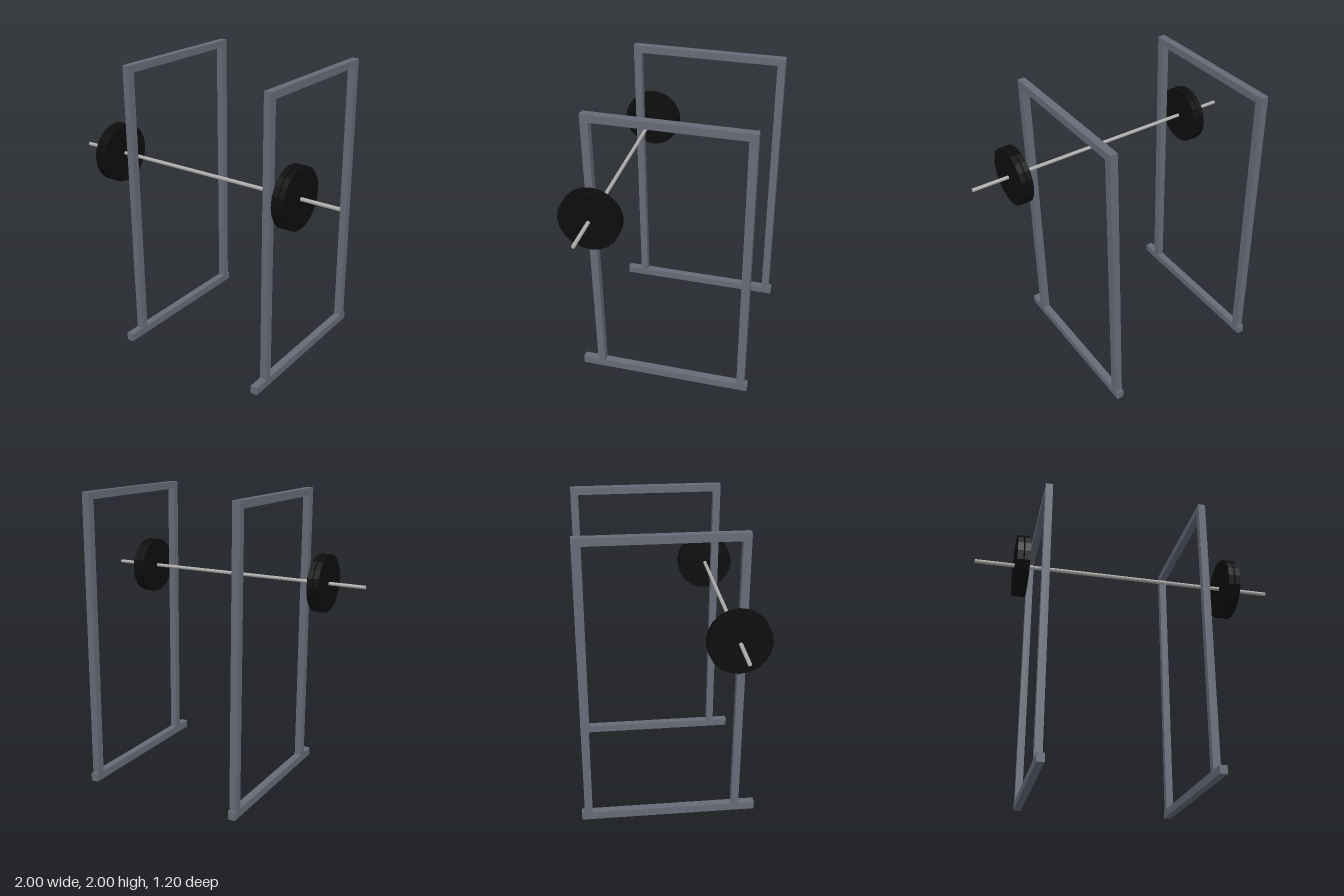
import * as THREE from 'three';

export function createModel() {
  const model = new THREE.Group();
  model.name = 'squatRack';

  const frameMat = new THREE.MeshStandardMaterial({ name: 'slate grey steel', color: 0x666b78 });
  const barMat = new THREE.MeshStandardMaterial({ name: 'bright steel', color: 0xb0aeac });
  const plateMat = new THREE.MeshStandardMaterial({ name: 'black rubber', color: 0x0d0d0d, flatShading: true });

  // Box beam given by its height and depth ranges
  const beam = (parent, name, y0, y1, z0, z1) => {
    const mesh = new THREE.Mesh(new THREE.BoxGeometry(0.05, y1 - y0, z1 - z0), frameMat);
    mesh.position.set(0, (y0 + y1) / 2, (z0 + z1) / 2);
    mesh.name = name;
    parent.add(mesh);
  };

  // Cylinder lying along x
  const rod = (parent, name, radius, length, sides, x, material) => {
    const geometry = new THREE.CylinderGeometry(radius, radius, length, sides).rotateZ(Math.PI / 2);
    const mesh = new THREE.Mesh(geometry, material);
    mesh.position.x = x;
    mesh.name = name;
    parent.add(mesh);
  };

  // Barbell resting across the front posts
  const barbell = new THREE.Group();
  barbell.name = 'barbell';
  barbell.position.set(0, 1.367, 0.4);
  model.add(barbell);
  rod(barbell, 'bar', 0.0125, 2, 12, 0, barMat);

  for (const [side, label] of [[1, 'left'], [-1, 'right']]) {
    // Side frame
    const frame = new THREE.Group();
    frame.name = label + 'Frame';
    frame.position.x = side * 0.545;
    model.add(frame);
    beam(frame, 'foot', 0, 0.055, -0.6, 0.585);
    beam(frame, 'frontPost', 0.055, 1.95, 0.424, 0.475);
    beam(frame, 'rearPost', 0.055, 1.95, -0.58, -0.527);
    beam(frame, 'topBeam', 1.95, 2, -0.58, 0.475);

    // Pair of weight plates with a small spacer in the gap
    rod(barbell, label + 'InnerPlate', 0.2, 0.037, 20, side * 0.679, plateMat);
    rod(barbell, label + 'OuterPlate', 0.2, 0.037, 20, side * 0.724, plateMat);
    rod(barbell, label + 'Spacer', 0.014, 0.01, 12, side * 0.7015, plateMat);
  }
  return model;
}
